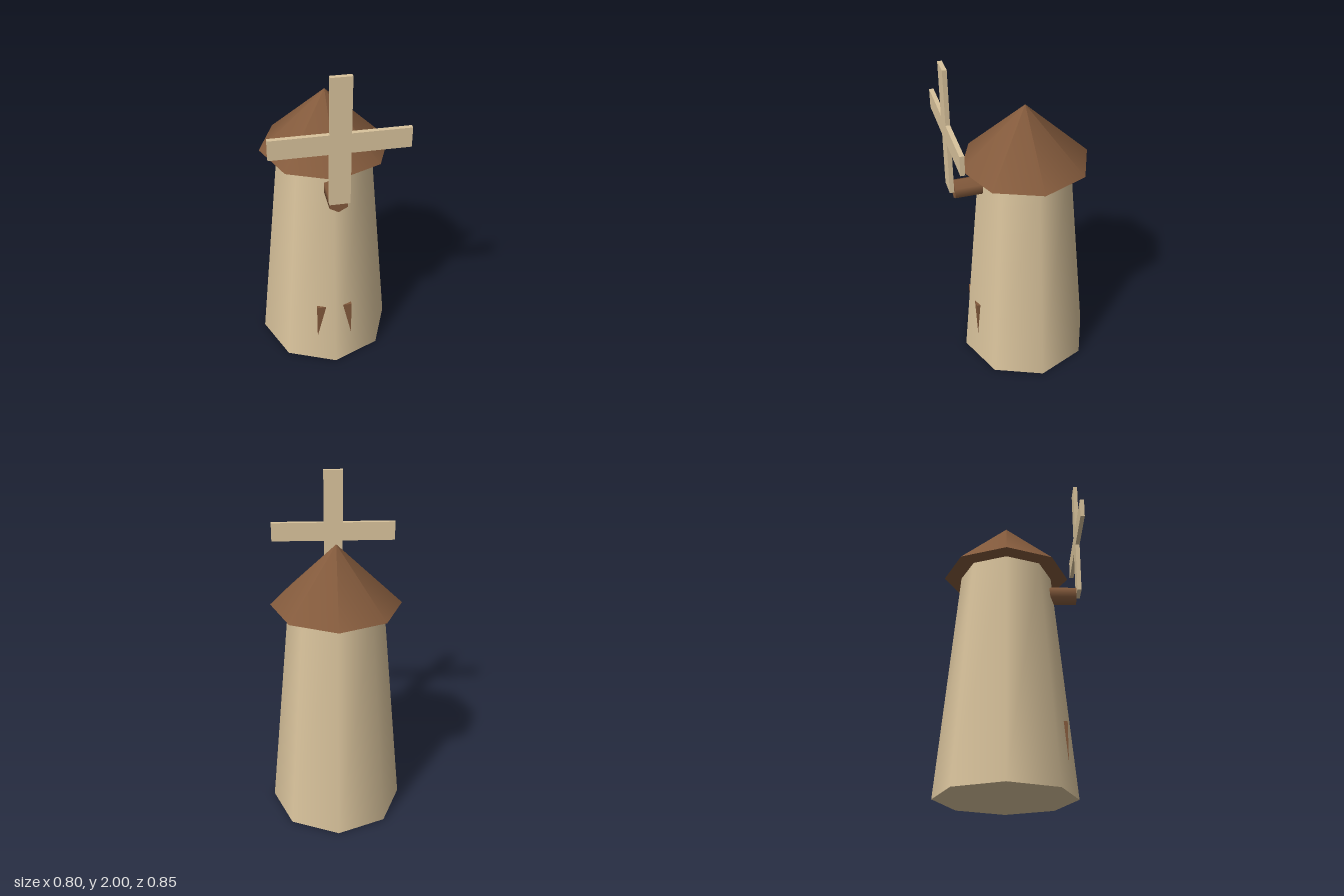
import * as THREE from 'three';

const CENTER_Z = -0.027;

export function createModel() {
  const model = new THREE.Group();
  model.name = 'windmill';
  const sand = new THREE.MeshStandardMaterial({ color: 0xd9c39c });
  sand.name = 'sand';
  const brown = new THREE.MeshStandardMaterial({ color: 0x835a3c });
  brown.name = 'brown';

  const add = (name, geometry, material, x, y, z) => {
    const mesh = new THREE.Mesh(geometry, material);
    mesh.name = name;
    mesh.position.set(x, y, z);
    model.add(mesh);
    return mesh;
  };

  // Tapered eight-sided tower with a corner facing forward
  add('tower', new THREE.CylinderGeometry(0.273, 0.4, 1.355, 8), sand, 0, 0.6775, CENTER_Z);

  // Overhanging eight-sided roof
  add('roof', new THREE.ConeGeometry(0.375, 0.355, 8), brown, 0, 1.5325, CENTER_Z);

  // Door block, mostly sunk into the tower so its upper corners stand out
  add('door', new THREE.BoxGeometry(0.21, 0.4, 0.1), brown, 0, 0.21, 0.263);

  // Six-sided axle with a corner at the bottom
  const axle = new THREE.CylinderGeometry(0.059, 0.059, 0.28, 6);
  axle.rotateX(Math.PI / 2);
  add('axle', axle, brown, 0, 1.238, 0.256);

  // Sails: one flat cross, traced quarter by quarter
  const arm = 0.373, half = 0.057;
  const points = [];
  for (let i = 0; i < 4; i++) {
    for (const [x, y] of [[arm, -half], [arm, half], [half, half]]) {
      points.push(new THREE.Vector2(x, y).rotateAround(new THREE.Vector2(), i * Math.PI / 2));
    }
  }
  const cross = new THREE.ExtrudeGeometry(new THREE.Shape(points), { depth: 0.025, bevelEnabled: false });
  add('sails', cross, sand, 0, 1.627, 0.402);

  return model;
}
